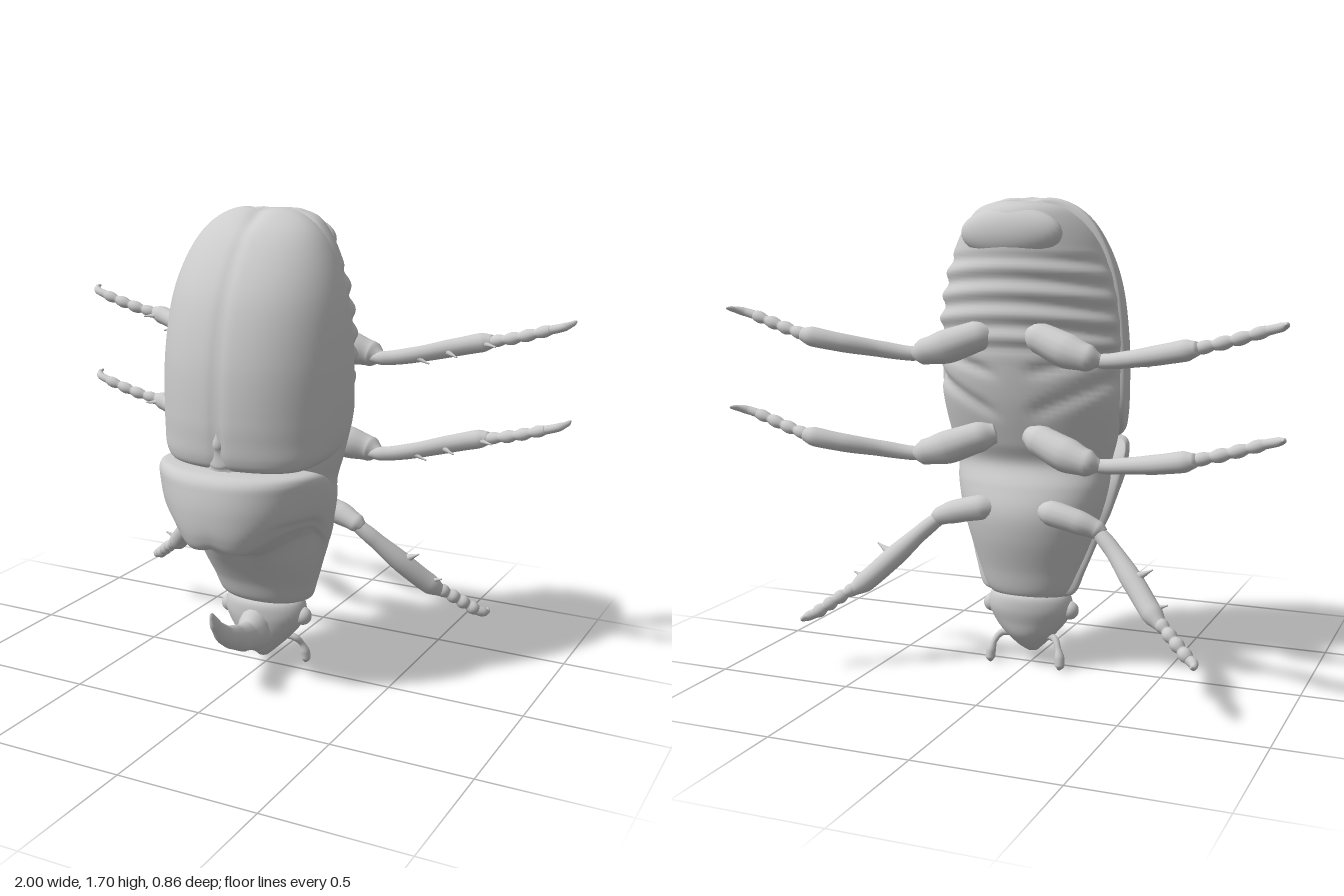
import * as THREE from 'three';
import { mergeVertices } from 'three/addons/utils/BufferGeometryUtils.js';

const grey = new THREE.MeshStandardMaterial({ color: 0xcccccc });
grey.name = 'shell grey';

const smooth = (a, b, v) => THREE.MathUtils.smoothstep(v, a, b);
const bell = (v, w) => Math.exp(-((v / w) ** 2));

function mesh(geometry, name) {
  const m = new THREE.Mesh(geometry, grey);
  m.name = name;
  return m;
}

// Closed skin over sections [y, halfWidth, frontZ, backZ, widestZ], reshaped by an optional rule
function loft(rows, name, rule, power = 1, steps = 90, sides = 72) {
  const side = new THREE.CatmullRomCurve3(rows.map((r) => new THREE.Vector3(r[1], r[0], r[4])), false, 'centripetal');
  const depth = new THREE.CatmullRomCurve3(rows.map((r) => new THREE.Vector3(r[2], r[0], r[3])), false, 'centripetal');
  const pos = [], index = [], p = new THREE.Vector3();
  const pow = (v) => Math.sign(v) * Math.abs(v) ** power;
  for (let i = 0; i <= steps; i++) {
    const s = side.getPoint(i / steps), d = depth.getPoint(i / steps);
    for (let j = 0; j < sides; j++) {
      const t = (j / sides) * Math.PI * 2, c = pow(Math.cos(t));
      p.set(s.x * pow(Math.sin(t)), s.y, s.z + (c > 0 ? d.x - s.z : s.z - d.z) * c);
      if (rule) rule(p, c);
      pos.push(p.x, p.y, p.z);
      if (i === steps) continue;
      const a = i * sides + j, b = i * sides + ((j + 1) % sides);
      index.push(a, b, a + sides, b, b + sides, a + sides);
    }
  }
  // end caps
  [[0, rows[0]], [steps, rows[rows.length - 1]]].forEach(([i, r]) => {
    const pole = pos.length / 3;
    pos.push(0, r[0], (r[2] + r[3]) / 2);
    for (let j = 0; j < sides; j++) {
      const a = i * sides + j, b = i * sides + ((j + 1) % sides);
      index.push(...(i ? [a, b, pole] : [b, a, pole]));
    }
  });
  const g = new THREE.BufferGeometry();
  g.setAttribute('position', new THREE.Float32BufferAttribute(pos, 3));
  g.setIndex(index);
  g.computeVertexNormals();
  return mesh(g, name);
}

// Tapered tube through [x, y, z, radius]; beads gives it segments, flat narrows it in x
function limb(points, name, beads = 0, flat = 1) {
  const curve = new THREE.CatmullRomCurve3(points.map((p) => new THREE.Vector3(p[0], p[1], p[2])));
  const seg = 56, radial = 14, last = points.length - 1;
  const g = new THREE.TubeGeometry(curve, seg, 1, radial);
  const pos = g.attributes.position, v = new THREE.Vector3();
  for (let i = 0; i <= seg; i++) {
    const t = curve.getUtoTmapping(i / seg), k = Math.min(Math.floor(t * last), last - 1);
    const c = curve.getPoint(t);
    let r = THREE.MathUtils.lerp(points[k][3], points[k + 1][3], smooth(0, 1, t * last - k));
    if (beads) r *= 0.75 + 0.35 * Math.abs(Math.sin((Math.PI * beads * i) / seg));
    if (i === 0 || i === seg) r = 0.0005;
    for (let j = 0; j <= radial; j++) {
      const n = i * (radial + 1) + j;
      v.fromBufferAttribute(pos, n).sub(c).multiplyScalar(r);
      v.x *= flat;
      v.add(c);
      pos.setXYZ(n, v.x, v.y, v.z);
    }
  }
  g.deleteAttribute('uv');
  g.deleteAttribute('normal');
  const welded = mergeVertices(g, 1e-5);
  welded.computeVertexNormals();
  return mesh(welded, name);
}

function ball(name, at, scale) {
  const m = mesh(new THREE.SphereGeometry(1, 32, 24), name);
  m.position.set(...at);
  m.scale.set(...scale);
  return m;
}

function rearLeg(s, y, name) {
  const leg = new THREE.Group();
  leg.name = name;
  const P = (x, dy, z, r) => [s * x, y + dy, z, r];
  leg.add(
    limb([P(0.06, 0.08, -0.17, 0.035), P(0.12, 0.065, -0.2, 0.055), P(0.22, 0.03, -0.23, 0.06), P(0.3, 0.01, -0.245, 0.047), P(0.35, 0, -0.235, 0.02)], 'femur'),
    limb([P(0.29, 0, -0.22, 0.015), P(0.36, 0, -0.235, 0.026), P(0.46, 0.015, -0.27, 0.029), P(0.58, 0.04, -0.34, 0.033), P(0.67, 0.06, -0.375, 0.035), P(0.72, 0.07, -0.38, 0.022)], 'tibia'),
    limb([P(0.7, 0.065, -0.375, 0.02), P(0.8, 0.09, -0.36, 0.021), P(0.93, 0.13, -0.35, 0.019)], 'tarsus', 4),
    limb([P(0.91, 0.125, -0.35, 0.016), P(0.965, 0.14, -0.36, 0.015), P(0.99, 0.15, -0.39, 0.01), P(0.995, 0.155, -0.42, 0.004)], 'claw'),
    limb([P(0.46, 0.01, -0.26, 0.014), P(0.52, -0.01, -0.255, 0.003)], 'legSpur'),
    limb([P(0.56, 0.03, -0.31, 0.014), P(0.61, 0.015, -0.29, 0.003)], 'legSpur'),
    limb([P(0.68, 0.06, -0.36, 0.014), P(0.735, 0.055, -0.34, 0.003)], 'legSpur'));
  return leg;
}

function frontLeg(s) {
  const leg = new THREE.Group();
  leg.name = 'frontLeg';
  const P = (x, y, z, r) => [s * x, y, z, r];
  leg.add(
    limb([P(0.08, 0.605, -0.12, 0.03), P(0.14, 0.6, -0.14, 0.046), P(0.23, 0.58, -0.145, 0.043), P(0.3, 0.555, -0.135, 0.034), P(0.33, 0.54, -0.135, 0.02)], 'femur'),
    limb([P(0.29, 0.56, -0.13, 0.025), P(0.36, 0.5, -0.155, 0.03), P(0.46, 0.4, -0.21, 0.039), P(0.54, 0.32, -0.265, 0.038), P(0.59, 0.28, -0.3, 0.02)], 'tibia'),
    limb([P(0.57, 0.3, -0.285, 0.022), P(0.64, 0.25, -0.33, 0.023), P(0.7, 0.205, -0.365, 0.022)], 'tarsus', 4),
    limb([P(0.68, 0.215, -0.355, 0.018), P(0.715, 0.2, -0.375, 0.018), P(0.725, 0.195, -0.4, 0.011), P(0.72, 0.2, -0.425, 0.004)], 'claw'),
    limb([P(0.47, 0.42, -0.21, 0.02), P(0.525, 0.45, -0.2, 0.003)], 'legSpur'),
    limb([P(0.54, 0.33, -0.26, 0.018), P(0.595, 0.348, -0.255, 0.003)], 'legSpur'));
  return leg;
}

export function createModel() {
  const beetle = new THREE.Group();
  beetle.name = 'beetle';

  // underside of thorax and ridged abdomen
  beetle.add(loft([
    [0.265, 0.14, 0.07, -0.095, 0], [0.29, 0.165, 0.08, -0.11, 0], [0.37, 0.195, 0.1, -0.13, 0],
    [0.5, 0.24, 0.18, -0.165, 0.01], [0.6, 0.27, 0.28, -0.17, 0.02], [0.68, 0.285, 0.3, -0.145, 0.02],
    [0.76, 0.29, 0.3, -0.11, 0.02], [0.84, 0.31, 0.3, -0.14, 0.02], [1.0, 0.335, 0.32, -0.19, 0],
    [1.18, 0.337, 0.3, -0.22, 0], [1.3, 0.328, 0.26, -0.23, 0], [1.42, 0.305, 0.22, -0.235, 0],
    [1.54, 0.258, 0.14, -0.235, -0.02], [1.62, 0.2, 0.06, -0.23, -0.05], [1.66, 0.15, 0, -0.21, -0.08],
    [1.682, 0.08, -0.05, -0.17, -0.11]], 'underbody', (p, c) => {
    const back = 1 - smooth(-0.3, 0.1, c);
    const zone = smooth(1.13, 1.2, p.y) * (1 - smooth(1.47, 1.53, p.y));
    const ribs = 0.028 * zone * Math.sin((p.y + 0.3 * p.x * p.x) * Math.PI * 2 / 0.08);
    // slanting seams between the leg-bearing plates
    const x = Math.abs(p.x);
    const seams = 0.06 * (bell(p.y - 0.92 - 0.45 * x, 0.025) + bell(p.y - 1.08 - 0.25 * x, 0.02));
    const k = 1 + back * (ribs - seams * smooth(0.03, 0.12, x));
    p.x *= k;
    p.z *= k;
  }, 1, 160));
  beetle.add(ball('tailPlate', [0, 1.575, -0.18], [0.185, 0.09, 0.065]));

  // wing cases with a groove between them
  beetle.add(loft([
    [0.825, 0.22, 0.31, 0.2, 0.22], [0.835, 0.265, 0.338, 0.15, 0.18], [0.87, 0.315, 0.355, 0.07, 0.1],
    [0.93, 0.34, 0.362, 0.005, 0.035], [1.0, 0.348, 0.366, -0.015, 0.012], [1.2, 0.346, 0.355, -0.02, 0.01],
    [1.4, 0.322, 0.305, -0.02, 0.01], [1.53, 0.278, 0.235, -0.02, 0.01], [1.62, 0.222, 0.16, -0.02, 0.01],
    [1.67, 0.16, 0.09, -0.015, 0.01], [1.692, 0.1, 0.05, -0.01, 0.01], [1.698, 0.04, 0.03, 0, 0.01]],
  'wingCases', (p, c) => {
    if (c > 0) p.z -= 0.008 * bell(p.x, 0.02) * smooth(0, 0.3, c);
    p.y -= 0.012 * bell(p.x, 0.04) * smooth(1.6, 1.69, p.y);
  }, 0.94, 100, 120));
  beetle.add(limb([[0, 0.81, 0.275, 0.09], [0, 0.87, 0.305, 0.058], [0, 0.92, 0.338, 0.026], [0, 0.975, 0.357, 0.003]], 'scutellum'));

  // thorax shield with an overhanging double knob
  beetle.add(loft([
    [0.27, 0.15, 0.085, -0.04, -0.02], [0.285, 0.178, 0.105, -0.05, -0.02], [0.36, 0.208, 0.14, -0.04, -0.01],
    [0.45, 0.242, 0.2, -0.02, 0.015], [0.51, 0.265, 0.25, -0.01, 0.03], [0.53, 0.272, 0.32, 0, 0.035],
    [0.55, 0.28, 0.395, 0, 0.04], [0.6, 0.295, 0.42, 0.01, 0.05], [0.69, 0.312, 0.43, 0.04, 0.075],
    [0.76, 0.318, 0.425, 0.08, 0.11], [0.8, 0.312, 0.415, 0.13, 0.15], [0.822, 0.29, 0.39, 0.17, 0.19],
    [0.83, 0.24, 0.35, 0.2, 0.22]], 'thoraxShield', (p, c) => {
    if (c <= 0) return;
    const ledge = bell(p.y - 0.55, 0.09) * smooth(0, 0.4, c);
    p.y += ledge * (0.08 * smooth(0.08, 0.25, Math.abs(p.x)) + 0.015 * bell(p.x, 0.04));
  }, 0.93, 110, 96));

  // head, eyes and horn
  beetle.add(loft([
    [0.042, 0.02, 0.04, 0, 0.02], [0.07, 0.05, 0.07, -0.045, 0.01], [0.12, 0.1, 0.09, -0.085, 0],
    [0.17, 0.14, 0.1, -0.1, 0], [0.22, 0.16, 0.105, -0.112, 0], [0.265, 0.15, 0.1, -0.11, 0],
    [0.29, 0.12, 0.07, -0.09, 0]], 'head', null, 1, 40, 40));
  beetle.add(limb([[0, 0.16, -0.03, 0.09], [0, 0.165, 0.04, 0.105], [0, 0.162, 0.09, 0.085], [0, 0.16, 0.16, 0.055],
    [0, 0.185, 0.24, 0.045], [0, 0.225, 0.32, 0.035], [0, 0.28, 0.375, 0.024], [0, 0.335, 0.408, 0.009]], 'horn', 0, 0.75));

  for (const s of [1, -1]) {
    beetle.add(
      ball('eye', [s * 0.152, 0.212, 0], [0.034, 0.034, 0.032]),
      limb([[s * 0.06, 0.115, -0.02, 0.014], [s * 0.105, 0.107, -0.03, 0.013], [s * 0.125, 0.08, -0.048, 0.011],
        [s * 0.135, 0.045, -0.058, 0.018], [s * 0.137, 0.02, -0.061, 0.018], [s * 0.135, 0.001, -0.062, 0.006]], 'antenna'),
      frontLeg(s), rearLeg(s, 0.8, 'middleLeg'), rearLeg(s, 1.155, 'hindLeg'));
  }
  return beetle;
}
